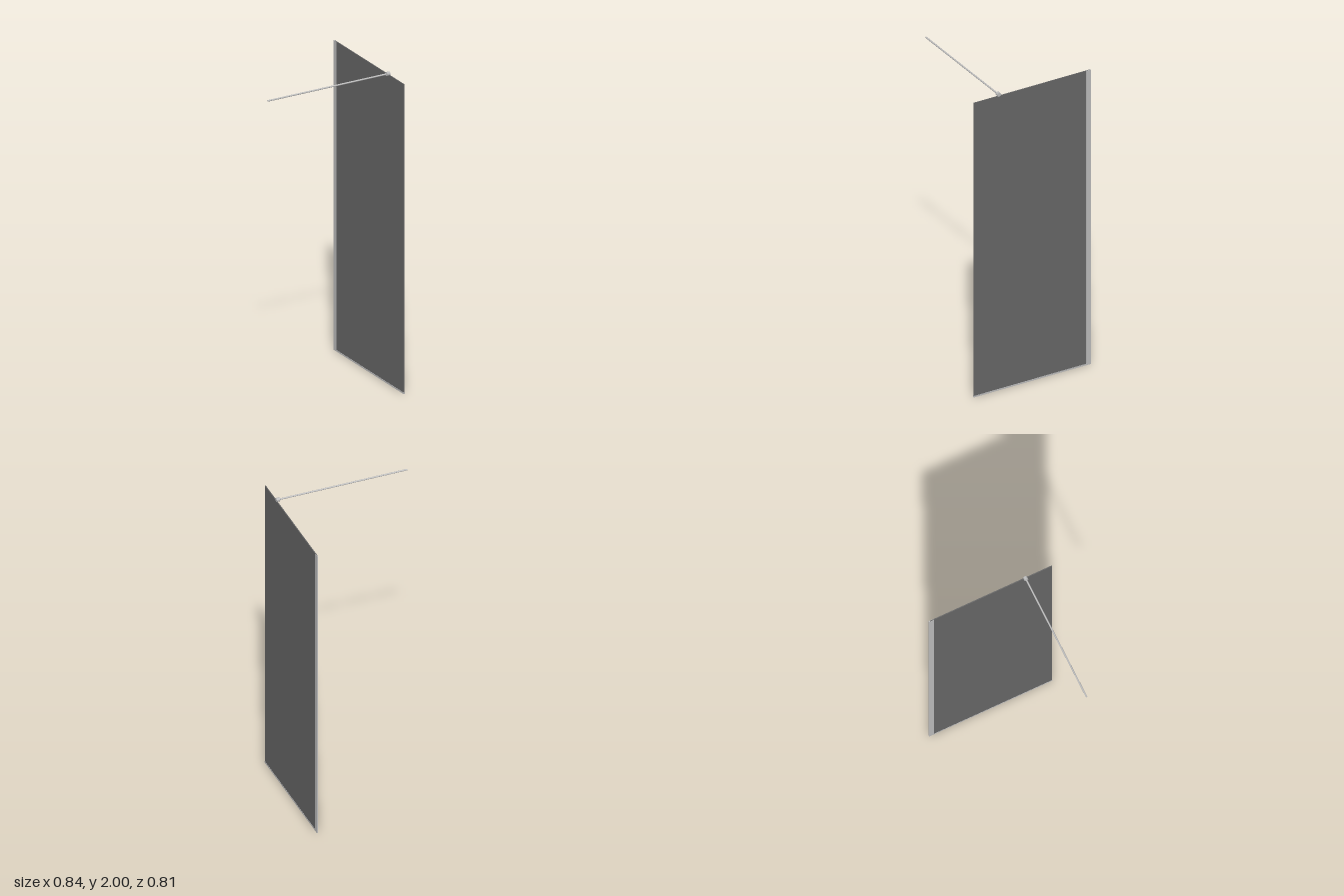
import * as THREE from 'three';

export function createModel() {
  const group = new THREE.Group();
  const glass = new THREE.MeshStandardMaterial({ color: 0x666666 });
  glass.name = 'smoked glass';
  const chrome = new THREE.MeshStandardMaterial({ color: 0xbcbcbc });
  chrome.name = 'brushed metal';

  const add = (name, geometry, material, x, y, z) => {
    const mesh = new THREE.Mesh(geometry, material);
    mesh.name = name;
    mesh.position.set(x, y, z);
    group.add(mesh);
    return mesh;
  };
  // Round rod lying along x between two ends
  const rod = (name, radius, x0, x1, y, z) => {
    const g = new THREE.CylinderGeometry(radius, radius, x1 - x0, 32);
    add(name, g.rotateZ(Math.PI / 2), chrome, (x0 + x1) / 2, y, z);
  };

  const panelX = 0.416, top = 1.98;

  // Tall glass sheet
  add('glassPanel', new THREE.BoxGeometry(0.006, top - 0.004, 0.8), glass, panelX, top / 2 + 0.002, 0.003);

  // Wall channel along the back edge and sill strip along the floor
  add('wallProfile', new THREE.BoxGeometry(0.008, top, 0.031), chrome, panelX, top / 2, -0.3895);
  add('floorProfile', new THREE.BoxGeometry(0.008, 0.01, 0.779), chrome, panelX, 0.005, 0.0155);

  // Support bar and the round clamp gripping the top of the glass
  rod('supportBar', 0.005, -0.42, 0.402, 1.987, 0.228);
  rod('glassClamp', 0.0125, 0.398, 0.42, 1.9875, 0.228);

  return group;
}
